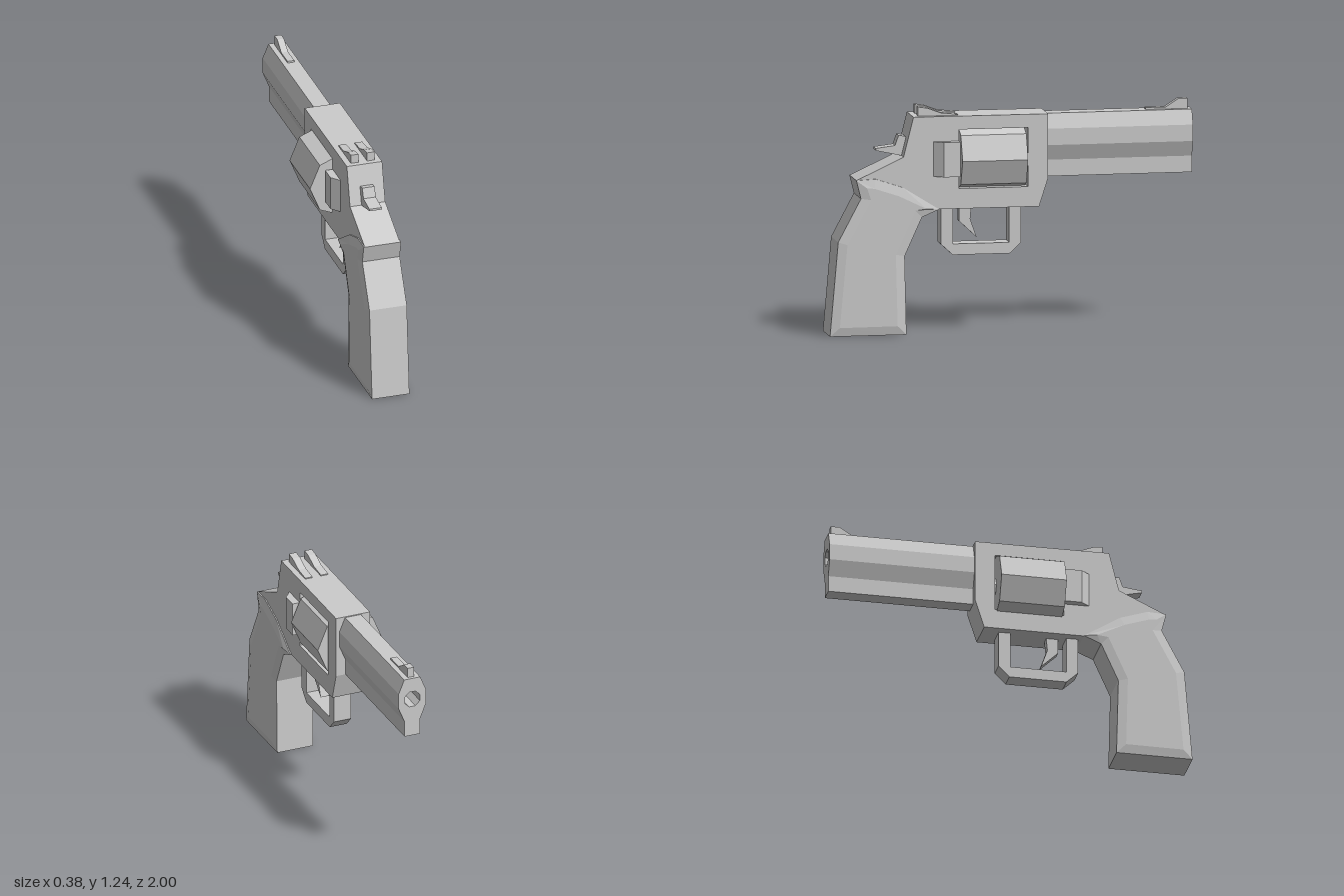
import * as THREE from 'three';

const MID = 0.035; // centre plane of frame, barrel and grip
const mat = new THREE.MeshStandardMaterial({ color: 0xcccccc, flatShading: true });
const points = (list) => list.map(([a, b]) => new THREE.Vector2(a, b));

function part(name, geometry) {
  const mesh = new THREE.Mesh(geometry, mat);
  mesh.name = name;
  return mesh;
}

// Extrudes a side profile of [z, y] points across x, centred on x = cx
function sidePlate(name, profile, width, cx = MID, hole = null, bevel = null) {
  const shape = new THREE.Shape(points(profile));
  if (hole) shape.holes.push(new THREE.Path(points(hole)));
  const g = new THREE.ExtrudeGeometry(shape, { depth: width, bevelEnabled: false, ...bevel });
  g.translate(0, 0, -width / 2).rotateY(-Math.PI / 2).translate(cx, 0, 0);
  return part(name, g);
}

// Eight-sided rod along z
function rod(name, radius, z0, z1) {
  const g = new THREE.CylinderGeometry(radius, radius, z1 - z0, 8);
  g.rotateX(Math.PI / 2).translate(0, 0.945, (z0 + z1) / 2);
  return part(name, g);
}

export function createModel() {
  const model = new THREE.Group();

  // Frame with the window for the drum
  model.add(sidePlate('frame', [
    [0.54, 1.187], [-0.2, 1.185], [-0.2, 0.835], [-0.15, 0.68], [0.4, 0.68],
    [0.5, 0.66], [0.82, 0.76], [0.853, 0.85], [0.595, 0.97],
  ], 0.2, MID, [[0.29, 0.79], [0.29, 1.113], [-0.09, 1.113], [-0.09, 0.79]]));

  // Grip with shallow bevelled cheeks
  model.add(sidePlate('grip', [
    [0.855, 0.85], [0.83, 0.75], [0.955, 0.515], [1, 0], [0.58, 0], [0.59, 0.43],
    [0.495, 0.64], [0.4, 0.68], [0.6, 0.805], [0.75, 0.855],
  ], 0.212, MID, null, {
    bevelEnabled: true, bevelSegments: 1, bevelThickness: 0.012, bevelSize: 0.05, bevelOffset: -0.05,
  }));

  // Barrel: faceted upper tube over a narrow lug, bored through
  const half = [[0.047, 1.18], [0.08, 1.1], [0.08, 1.01], [0.045, 0.925], [0.045, 0.835]];
  const outline = [...half, ...half.map(([x, y]) => [-x, y]).reverse()];
  const barrelShape = new THREE.Shape(points(outline));
  const bore = [];
  for (let i = 0; i < 8; i++) {
    const a = ((i + 0.5) * Math.PI) / 4;
    bore.push([0.048 * Math.cos(a), 1.055 + 0.048 * Math.sin(a)]);
  }
  barrelShape.holes.push(new THREE.Path(points(bore)));
  const barrel = new THREE.ExtrudeGeometry(barrelShape, { depth: 0.8, bevelEnabled: false });
  model.add(part('barrel', barrel.translate(MID, 0, -1)));

  // Drum and its axle
  model.add(rod('drum', 0.19, -0.08, 0.28), rod('axle', 0.055, -0.095, 0.295));

  // Side shields behind the drum, tapering back into the frame
  for (const s of [-1, 1]) {
    const shape = new THREE.Shape(points([
      [MID + s * 0.08, -0.29], [MID + s * 0.142, -0.29], [MID + s * 0.142, -0.38],
      [MID + s * 0.1, -0.43], [MID + s * 0.08, -0.43],
    ]));
    const g = new THREE.ExtrudeGeometry(shape, { depth: 0.19, bevelEnabled: false });
    g.rotateX(-Math.PI / 2).translate(0, 0.86, 0);
    model.add(part(s > 0 ? 'leftShield' : 'rightShield', g));
  }

  // Trigger guard and trigger
  model.add(sidePlate('triggerGuard', [
    [0.38, 0.69], [0.38, 0.48], [0.315, 0.42], [0, 0.42], [-0.06, 0.48], [-0.06, 0.69],
    [0.005, 0.69], [0.005, 0.48], [0.315, 0.48], [0.315, 0.69],
  ], 0.1));
  model.add(sidePlate('trigger', [
    [0.275, 0.69], [0.275, 0.6], [0.18, 0.51], [0.215, 0.61], [0.208, 0.69],
  ], 0.05));

  // Hammer with thumb spur
  model.add(sidePlate('hammer', [
    [0.56, 0.99], [0.6, 0.97], [0.735, 1.0], [0.735, 1.012], [0.63, 1.025],
    [0.61, 1.08], [0.575, 1.075], [0.55, 1.02],
  ].map(([z, y], i) => (i === 0 ? [z, 0.985] : [z, y])), 0.07));

  // Paired rear sights and front sight
  for (const s of [-1, 1]) {
    model.add(sidePlate(s > 0 ? 'rearSightLeft' : 'rearSightRight', [
      [0.51, 1.17], [0.51, 1.236], [0.46, 1.23], [0.38, 1.2], [0.29, 1.192], [0.29, 1.17],
    ], 0.043, MID + s * 0.046));
  }
  model.add(sidePlate('frontSight', [
    [-0.75, 1.17], [-0.75, 1.19], [-0.86, 1.19], [-0.93, 1.235], [-0.98, 1.235], [-0.98, 1.17],
  ], 0.038));

  return model;
}
